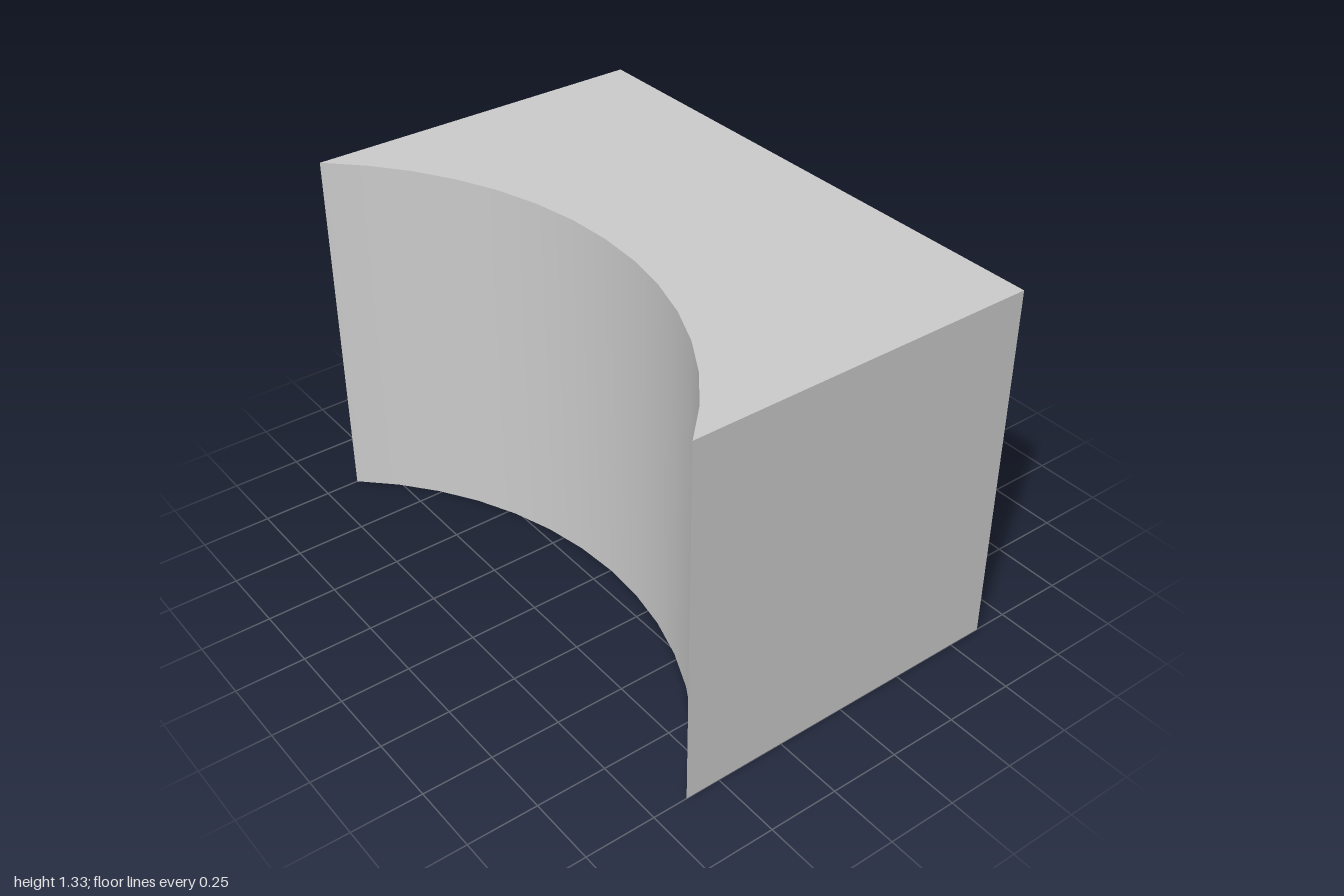
import * as THREE from 'three';
import { mergeGeometries } from 'three/addons/utils/BufferGeometryUtils.js';

const W = 0.6257, H = 1.333, D = 1;          // half width, height, half depth
const R = 4 / 3, A = Math.asin(D / R);       // saddle radius and half angle
const CX = -W - R * Math.cos(A);             // saddle axis
const BORE_R = 0.2, BORE_DEPTH = 0.53;

// Turns a surface inside out, for concave walls
function inward(geo) {
  geo.index.array.reverse();
  const n = geo.attributes.normal.array;
  for (let i = 0; i < n.length; i++) n[i] = -n[i];
  return geo;
}

export function createModel() {
  const group = new THREE.Group();
  const material = new THREE.MeshStandardMaterial({ color: 0xcccccc });
  const add = (name, parts) => {
    const mesh = new THREE.Mesh(mergeGeometries(parts), material);
    mesh.name = name;
    group.add(mesh);
  };

  // Plan outline: a rectangle with an arc cut from the -x side
  const plan = new THREE.Shape();
  plan.moveTo(-W, -D);
  plan.lineTo(W, -D);
  plan.lineTo(W, D);
  plan.lineTo(-W, D);
  plan.absarc(CX, 0, R, A, -A, true);
  const cap = () => new THREE.ShapeGeometry(plan, 7);

  // Flat +x face with the round opening
  const face = new THREE.Shape([[-D, 0], [D, 0], [D, H], [-D, H]].map(p => new THREE.Vector2(...p)));
  face.holes.push(new THREE.Path().absarc(0, H / 2, BORE_R, 0, Math.PI * 2, true));

  add('block', [
    cap().rotateX(-Math.PI / 2).translate(0, H, 0),
    cap().rotateX(Math.PI / 2),
    new THREE.PlaneGeometry(2 * W, H).translate(0, H / 2, D),
    new THREE.PlaneGeometry(2 * W, H).rotateY(Math.PI).translate(0, H / 2, -D),
    new THREE.ShapeGeometry(face, 24).rotateY(Math.PI / 2).translate(W, 0, 0),
  ]);

  // Concave saddle wall
  add('saddle', [
    inward(new THREE.CylinderGeometry(R, R, H, 14, 1, true, Math.PI / 2 - A, 2 * A))
      .translate(CX, H / 2, 0),
  ]);

  // Blind bore: wall and flat floor
  add('bore', [
    inward(new THREE.CylinderGeometry(BORE_R, BORE_R, BORE_DEPTH, 48, 1, true))
      .rotateZ(Math.PI / 2).translate(W - BORE_DEPTH / 2, H / 2, 0),
    new THREE.CircleGeometry(BORE_R, 48).rotateY(Math.PI / 2).translate(W - BORE_DEPTH, H / 2, 0),
  ]);

  return group;
}
